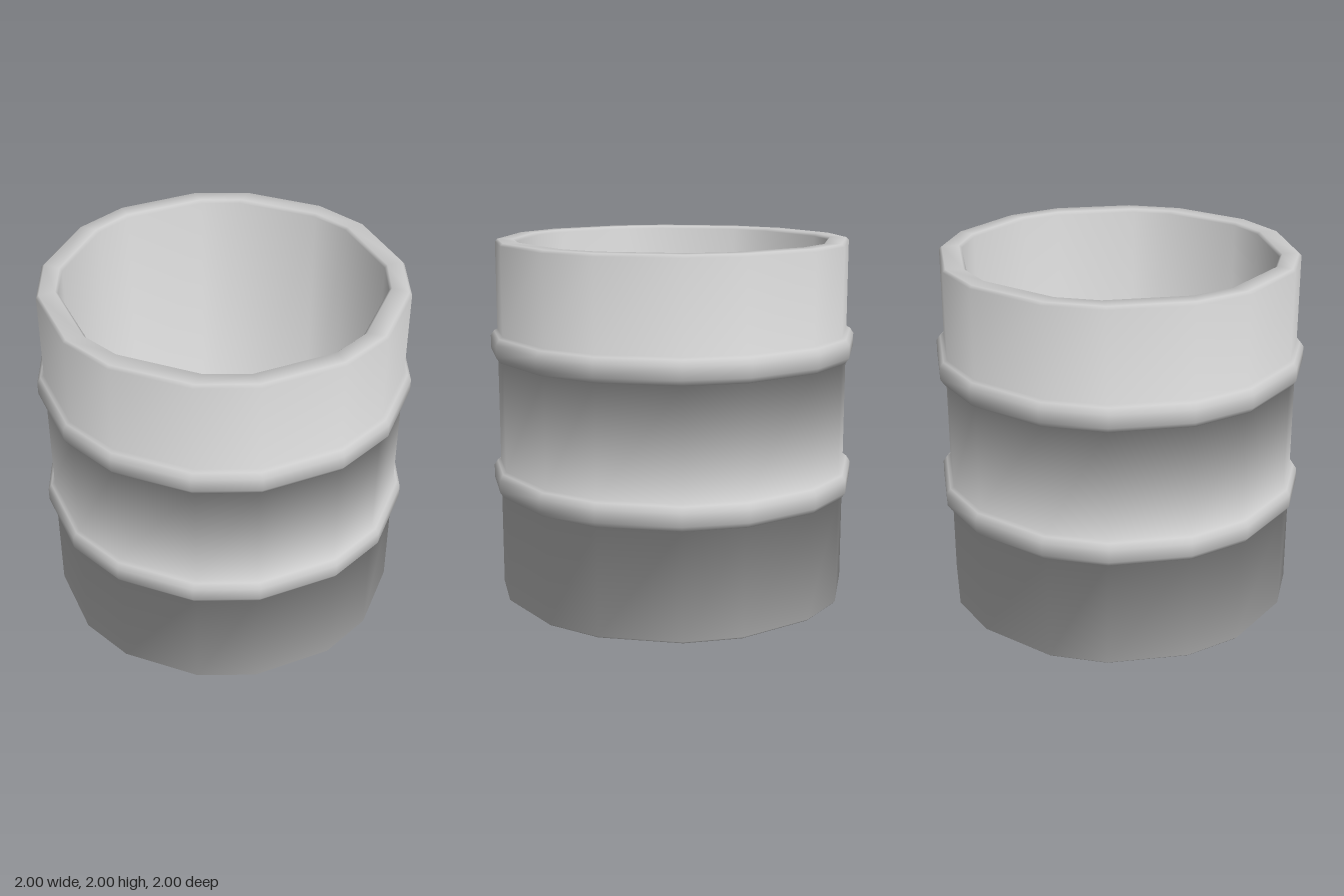
import * as THREE from 'three';

const SIDES = 16;

// Sixteen-sided outline with four slightly wider flats at reach R.
function ring(R) {
  if (R === 0) return Array.from({ length: SIDES }, () => [0, 0]);
  const a = 0.555 - 0.78 * (1 - R), b = 0.863 - 0.7 * (1 - R);
  let quarter = [[R, 0.225], [b, a], [a, b], [0.225, R]];
  const points = [];
  for (let q = 0; q < 4; q++) {
    points.push(...quarter);
    quarter = quarter.map(([x, z]) => [-z, x]);
  }
  return points;
}

// Raised hoop starting at height y.
const band = (y) => [
  [0.96, y], [0.98, y + 0.005], [1, y + 0.035],
  [1, y + 0.105], [0.98, y + 0.135], [0.96, y + 0.145],
];

// Full section: under the base, up the outside, over the rim, down to the floor.
const profile = [
  [0, 0], [0.95, 0], [0.96, 0.01],
  ...band(0.605), ...band(1.355),
  [0.96, 1.985], [0.945, 2], [0.855, 2], [0.84, 1.985],
  [0.84, 0.12], [0, 0.12],
];

// Unit section normal between two profile points.
function segmentNormal(i) {
  const [r0, y0] = profile[i], [r1, y1] = profile[i + 1];
  return new THREE.Vector2(y1 - y0, r0 - r1).normalize();
}

// Soft normal at a profile point, shared by neighbouring parts.
function pointNormal(i) {
  const last = profile.length - 1;
  const n = segmentNormal(Math.max(i - 1, 0));
  return n.add(segmentNormal(Math.min(i, last - 1))).normalize();
}

// Lofts the profile points from first to last around the outline.
function loft(first, last) {
  const position = [], normal = [], index = [];
  for (let i = first; i <= last; i++) {
    const [r, y] = profile[i];
    const n = pointNormal(i);
    ring(r).forEach(([x, z], j) => {
      const angle = ((j + 0.5) / SIDES) * Math.PI * 2;
      position.push(x, y, z);
      normal.push(n.x * Math.cos(angle), n.y, n.x * Math.sin(angle));
    });
  }
  for (let i = 0; i < last - first; i++) {
    for (let j = 0; j < SIDES; j++) {
      const k = (j + 1) % SIDES;
      const a = i * SIDES + j, b = a + SIDES;
      const c = i * SIDES + k, d = c + SIDES;
      if (profile[first + i][0] > 0) index.push(a, b, c);
      if (profile[first + i + 1][0] > 0) index.push(c, b, d);
    }
  }
  const geometry = new THREE.BufferGeometry();
  geometry.setAttribute('position', new THREE.Float32BufferAttribute(position, 3));
  geometry.setAttribute('normal', new THREE.Float32BufferAttribute(normal, 3));
  geometry.setIndex(index);
  return geometry;
}

export function createModel() {
  const group = new THREE.Group();
  group.name = 'openBarrel';
  const material = new THREE.MeshStandardMaterial({ color: 0xcccccc });
  const parts = [
    ['base', 0, 2], ['lowerWall', 2, 3], ['lowerBand', 3, 8],
    ['middleWall', 8, 9], ['upperBand', 9, 14], ['upperWall', 14, 15],
    ['rim', 15, 18], ['innerWallAndFloor', 18, 20],
  ];
  for (const [name, first, last] of parts) {
    const mesh = new THREE.Mesh(loft(first, last), material);
    mesh.name = name;
    group.add(mesh);
  }
  return group;
}
